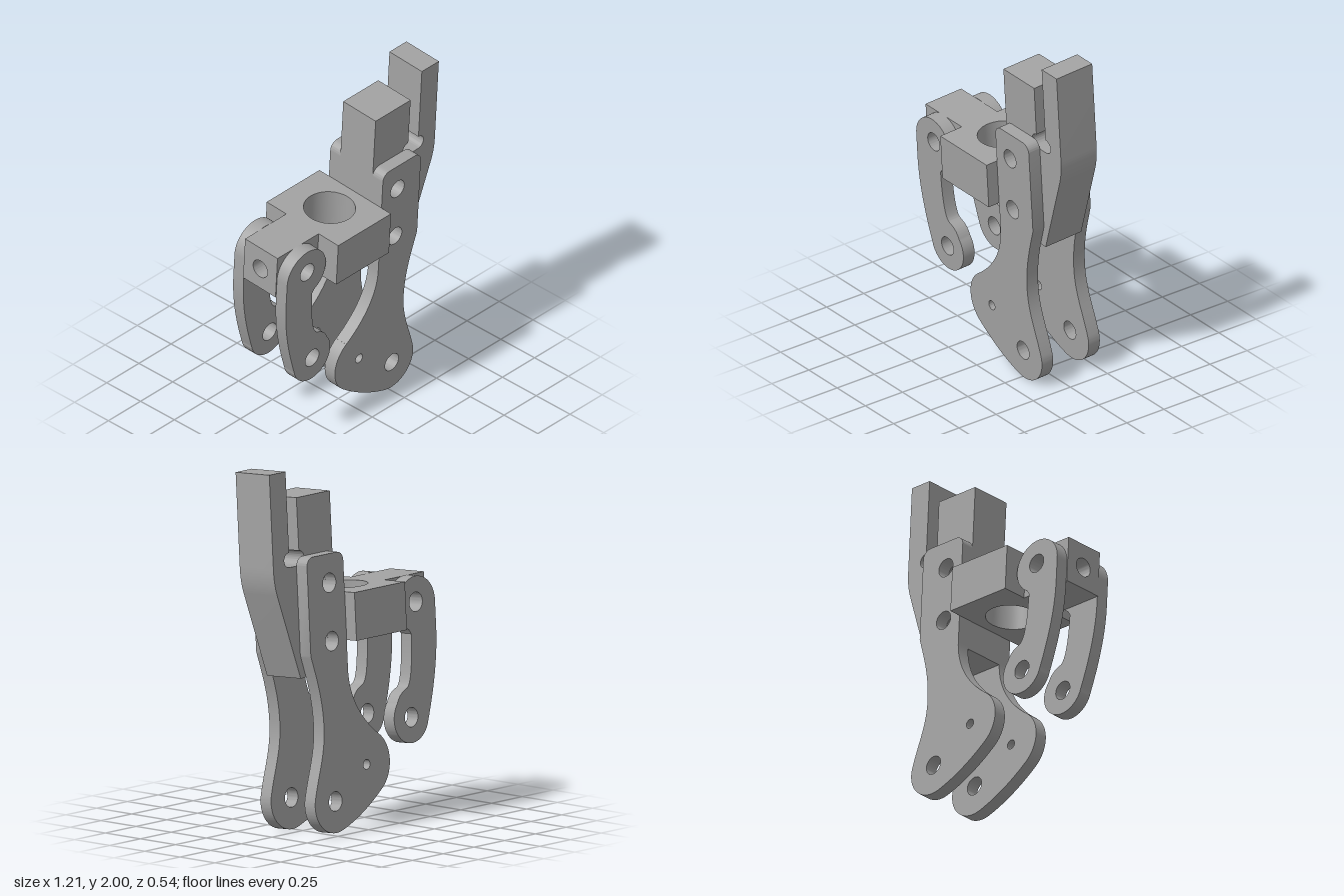
import * as THREE from 'three';
import { toCreasedNormals } from 'three/addons/utils/BufferGeometryUtils.js';

export function createModel() {
  const steel = new THREE.MeshStandardMaterial({ color: 0xa3a3a3 });
  steel.name = 'grey steel';

  const model = new THREE.Group();
  model.name = 'clampMechanism';
  // The whole mechanism leans slightly forward
  const body = new THREE.Group();
  body.name = 'leaningBody';
  body.rotation.x = 0.0575;
  body.position.set(0, 0.011, -0.0635);
  model.add(body);

  const BORE = 0.053; // pin hole radius
  const HALF = 0.12; // half width of the central bar
  const THICK = 0.075; // side plate thickness

  function drill(shape, holes) {
    for (const [x, y, r = BORE] of holes) {
      shape.holes.push(new THREE.Path().absarc(x, y, r, 0, Math.PI * 2, true));
    }
    return shape;
  }
  function extrude(shape, depth) {
    return new THREE.ExtrudeGeometry(shape, { depth, bevelEnabled: false, curveSegments: 24 });
  }
  function add(name, geometry) {
    const mesh = new THREE.Mesh(toCreasedNormals(geometry, 0.5), steel);
    mesh.name = name;
    body.add(mesh);
  }
  function rect(x0, y0, x1, y1) {
    return new THREE.Shape([[x0, y0], [x1, y0], [x1, y1], [x0, y1]].map((p) => new THREE.Vector2(...p)));
  }
  // Same flat plate on the front and back of the bar
  function platePair(name, shape) {
    add('front' + name, extrude(shape, THICK).translate(0, 0, HALF));
    add('back' + name, extrude(shape, THICK).translate(0, 0, -HALF - THICK));
  }
  const deg = THREE.MathUtils.degToRad;

  // Long side plates with a flared foot
  const side = new THREE.Shape();
  side.moveTo(0.12, 0.87);
  side.bezierCurveTo(0.12, 0.7, 0.014, 0.572, -0.106, 0.487);
  side.absarc(0, 0.335, 0.185, deg(125), deg(232), false);
  side.quadraticCurveTo(0.05, 0.06, 0.228, 0.006);
  side.absarc(0.27, 0.164, 0.163, deg(255), deg(375), false);
  side.bezierCurveTo(0.39, 0.35, 0.325, 0.45, 0.335, 0.62);
  side.bezierCurveTo(0.34, 0.76, 0.385, 0.88, 0.415, 0.98);
  side.lineTo(0.415, 1.46);
  side.absarc(0.365, 1.462, 0.05, 0, deg(90), false);
  side.lineTo(0.17, 1.512);
  side.absarc(0.17, 1.462, 0.05, deg(90), deg(180), false);
  side.closePath();
  platePair('SidePlate', drill(side, [[0.24, 1.355], [0.24, 1.038], [0.267, 0.172], [0.003, 0.335, 0.027]]));

  // Curved hanging arms
  const arm = new THREE.Shape();
  arm.absarc(-0.455, 1.142, 0.15, deg(-62), deg(180), false);
  arm.lineTo(-0.605, 1.0);
  arm.bezierCurveTo(-0.605, 0.82, -0.56, 0.65, -0.507, 0.495);
  arm.absarc(-0.374, 0.537, 0.14, deg(198), deg(398), false);
  arm.bezierCurveTo(-0.29, 0.68, -0.32, 0.685, -0.345, 0.697);
  arm.bezierCurveTo(-0.385, 0.71, -0.4, 0.85, -0.402, 0.985);
  arm.closePath();
  platePair('HangingArm', drill(arm, [[-0.45, 1.153], [-0.374, 0.537]]));

  // Central bar with a slotted stop finger
  const bar = new THREE.Shape();
  bar.moveTo(0.12, 0.855);
  bar.lineTo(0.42, 0.855);
  bar.lineTo(0.578, 1.32);
  bar.quadraticCurveTo(0.602, 1.39, 0.602, 1.47);
  bar.lineTo(0.602, 1.985);
  bar.lineTo(0.47, 1.985);
  bar.lineTo(0.47, 1.545);
  bar.absarc(0.472, 1.505, 0.04, deg(90), deg(-90), true);
  bar.lineTo(0.39, 1.465);
  bar.absarc(0.39, 1.505, 0.04, deg(270), deg(90), true);
  bar.lineTo(0.392, 1.833);
  bar.lineTo(0.12, 1.833);
  bar.closePath();
  drill(bar, [[0.24, 1.352], [0.24, 1.035]]);
  add('centralBar', extrude(bar, HALF * 2).translate(0, 0, -HALF));

  // Cross block with a large vertical bore
  const y0 = 1.027;
  const y1 = 1.289;
  const block = drill(rect(-0.29, -0.265, 0.12, 0.265), [[-0.08, 0, 0.14]]);
  add('crossBlock', extrude(block, y1 - y0).rotateX(-Math.PI / 2).translate(0, y0, 0));

  // Tongue carrying the arms, bored across and into its end
  const tongue = drill(rect(-0.51, y0, -0.29, y1), [[-0.45, 1.153]]);
  add('tongue', extrude(tongue, HALF * 2).translate(0, 0, -HALF));
  const tip = drill(rect(-HALF, y0, HALF, y1), [[0, 1.153]]);
  add('tongueTip', extrude(tip, 0.1).rotateY(Math.PI / 2).translate(-0.61, 0, 0));

  return model;
}
